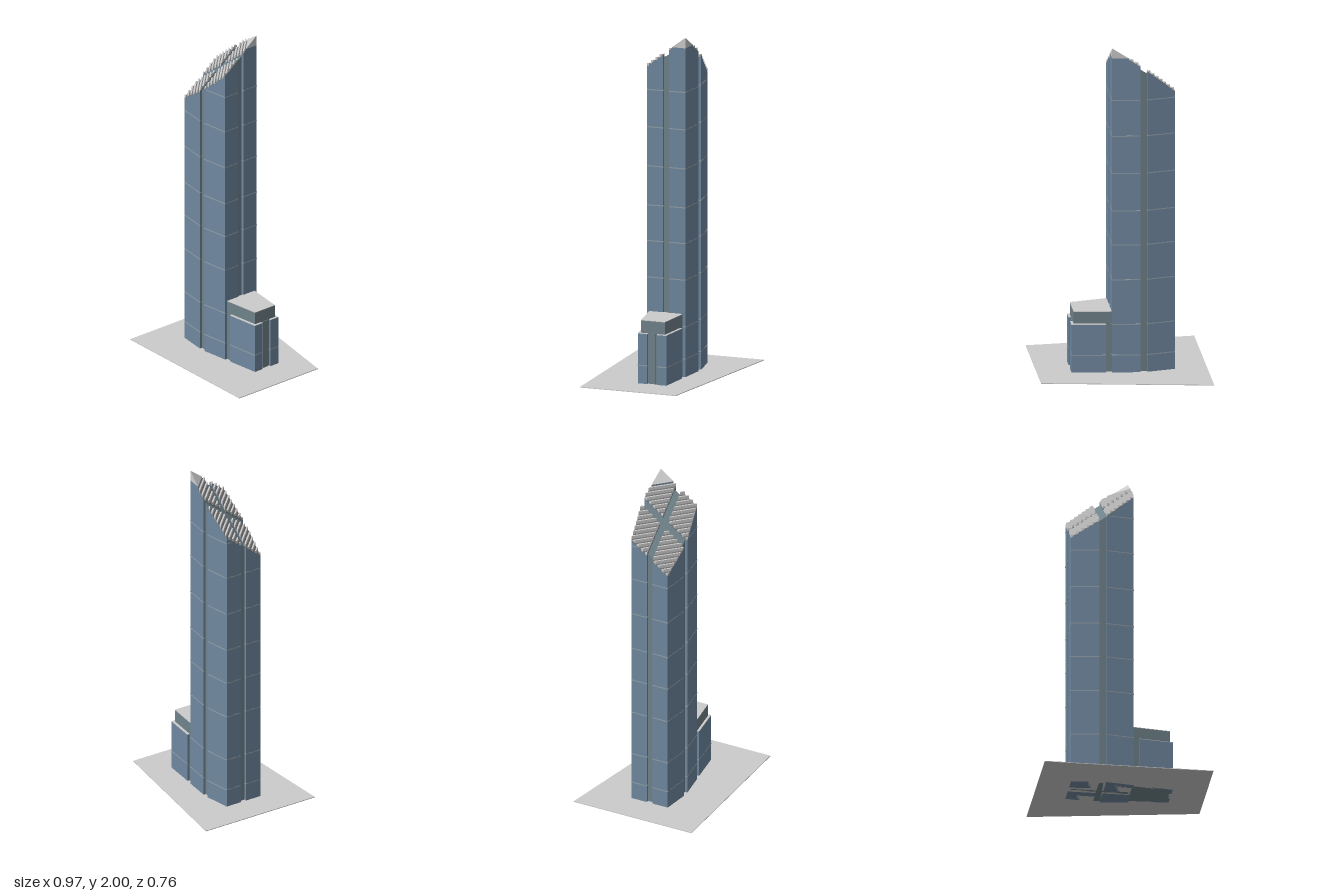
import * as THREE from 'three';

const mat = (color) => new THREE.MeshStandardMaterial({ color, flatShading: true });
const glass = mat(0x7088a0), core = mat(0x70838b), band = mat(0x93a0a8);
const white = mat(0xffffff), deckGrey = mat(0x777777), grey = mat(0xcccccc);

// The crown slopes up towards the back left corner; s = x - z measures the way up.
const slope = (x, z) => 1.55 + 0.76 * (x - z + 0.43);
const sAt = (y) => (y - 1.55) / 0.76 - 0.43;
const CAP = 1.94;

// Keep the part of a convex [x, z] outline where sign * (s - limit) >= 0.
function clip(poly, limit, sign) {
  const out = [];
  poly.forEach((a, i) => {
    const b = poly[(i + 1) % poly.length];
    const da = sign * (a[0] - a[1] - limit), db = sign * (b[0] - b[1] - limit);
    if (da >= 0) out.push(a);
    if ((da > 0 && db < 0) || (da < 0 && db > 0)) {
      const t = da / (da - db);
      out.push([a[0] + (b[0] - a[0]) * t, a[1] + (b[1] - a[1]) * t]);
    }
  });
  return out;
}

// Upright prism over a convex outline; bottom and top are heights or height rules.
function prism(group, name, poly, bottom, top, material) {
  if (poly.length < 3) return;
  const area = poly.reduce((sum, a, i) => {
    const b = poly[(i + 1) % poly.length];
    return sum + a[0] * b[1] - b[0] * a[1];
  }, 0);
  if (Math.abs(area) < 1e-7) return;
  const ring = area > 0 ? [...poly].reverse() : poly;
  const at = (h, p) => [p[0], typeof h === 'function' ? h(p[0], p[1]) : h, p[1]];
  const lo = ring.map((p) => at(bottom, p)), hi = ring.map((p) => at(top, p));
  const pos = [];
  ring.forEach((_, i) => {
    const j = (i + 1) % ring.length;
    pos.push(...lo[i], ...lo[j], ...hi[j], ...lo[i], ...hi[j], ...hi[i]);
    if (i > 0 && j > 0) {
      pos.push(...hi[0], ...hi[i], ...hi[j]);
      pos.push(...lo[0], ...lo[j], ...lo[i]);
    }
  });
  const geometry = new THREE.BufferGeometry();
  geometry.setAttribute('position', new THREE.Float32BufferAttribute(pos, 3));
  geometry.computeVertexNormals();
  const mesh = new THREE.Mesh(geometry, material);
  mesh.name = name;
  group.add(mesh);
}

const rect = (x0, x1, z0, z1) => [[x0, z0], [x1, z0], [x1, z1], [x0, z1]];

// Grow an outline slightly about its middle.
function grow(poly, d) {
  const cx = poly.reduce((s, p) => s + p[0], 0) / poly.length;
  const cz = poly.reduce((s, p) => s + p[1], 0) / poly.length;
  return poly.map(([x, z]) => [x + d * Math.sign(x - cx), z + d * Math.sign(z - cz)]);
}

// One of the four shafts: walls, floor bands, louvred sloping roof.
function buildShaft(name, poly) {
  const shaft = new THREE.Group();
  shaft.name = name;
  const capS = sAt(CAP);
  const lower = clip(poly, capS, -1), corner = clip(poly, capS, 1);
  const drop = (d) => (x, z) => slope(x, z) - d;

  prism(shaft, 'shaftWalls', lower, 0, drop(0.012), glass);
  prism(shaft, 'roofDeck', lower, drop(0.012), drop(0.008), deckGrey);

  // Corner walls stop level, with a white tip above
  prism(shaft, 'cornerWalls', corner, 0, CAP, glass);
  prism(shaft, 'whiteTip', corner, CAP, slope, white);

  // Stepped louvres along the contours of the roof
  const s = lower.map((p) => p[0] - p[1]);
  const first = Math.min(...s), last = Math.max(...s), pitch = 0.026;
  for (let s0 = first; s0 < last; s0 += pitch) {
    const s1 = Math.min(s0 + pitch * 0.5, last);
    const strip = clip(clip(lower, s0, 1), s1, -1);
    prism(shaft, 'roofLouvre', strip, drop(0.012), 1.55 + 0.76 * (s1 + 0.43), grey);
  }

  // Pale floor bands
  for (const y of [0.11, 0.3, 0.575, 0.79, 1.0, 1.23, 1.46, 1.68]) {
    const ring = clip(grow(poly, 0.0007), sAt(y + 0.02), 1);
    prism(shaft, 'floorBand', ring, y - 0.003, y + 0.003, band);
  }
  return shaft;
}

export function createModel() {
  const model = new THREE.Group();
  model.name = 'skyscraper';

  // Ground plate
  prism(model, 'groundPlate', [[-0.487, -0.38], [0.487, -0.204], [0.487, 0.38], [-0.487, 0.38]],
    0, 0.004, grey);

  // Tower: four tapered shafts around a cross-shaped core, mirrored about the cross
  const tower = new THREE.Group();
  tower.name = 'tower';
  const cx = -0.12, cz = 0.013;
  for (const sx of [-1, 1]) {
    for (const sz of [-1, 1]) {
      const poly = [[0.02, 0.018], [0.181, 0.018], [0.181, 0.117], [0.02, 0.138]]
        .map(([x, z]) => [cx + sx * x, cz + sz * z]);
      tower.add(buildShaft((sz > 0 ? 'front' : 'back') + (sx > 0 ? 'Left' : 'Right') + 'Shaft', poly));
    }
  }
  const coreTop = (x, z) => slope(x, z) - 0.018;
  prism(tower, 'crossCoreLong', rect(-0.286, 0.046, -0.005, 0.031), 0, coreTop, core);
  prism(tower, 'crossCoreShort', rect(-0.14, -0.1, -0.11, 0.136), 0, coreTop, core);
  model.add(tower);

  // Podium: tapered block with a lower bay wrapped round each outer corner
  const podium = new THREE.Group();
  podium.name = 'podium';
  const block = [[0.055, -0.089], [0.277, -0.06], [0.277, 0.087], [0.055, 0.116]];
  prism(podium, 'podiumBlock', block, 0, 0.372, core);
  prism(podium, 'podiumRoof', block, 0.372, 0.375, grey);
  for (const side of [-1, 1]) {
    const bay = [[0.097, 0.03], [0.291, 0.03], [0.291, 0.087], [0.097, 0.111]]
      .map(([x, z]) => [x, cz + side * z]);
    prism(podium, 'podiumBay', bay, 0, 0.297, glass);
    prism(podium, 'podiumBayRoof', bay, 0.297, 0.3, grey);
    prism(podium, 'podiumBayBand', grow(bay, 0.0007), 0.107, 0.113, band);
  }
  prism(podium, 'podiumEntrance', rect(0.27, 0.281, -0.005, 0.031), 0, 0.3, core);
  model.add(podium);

  return model;
}
